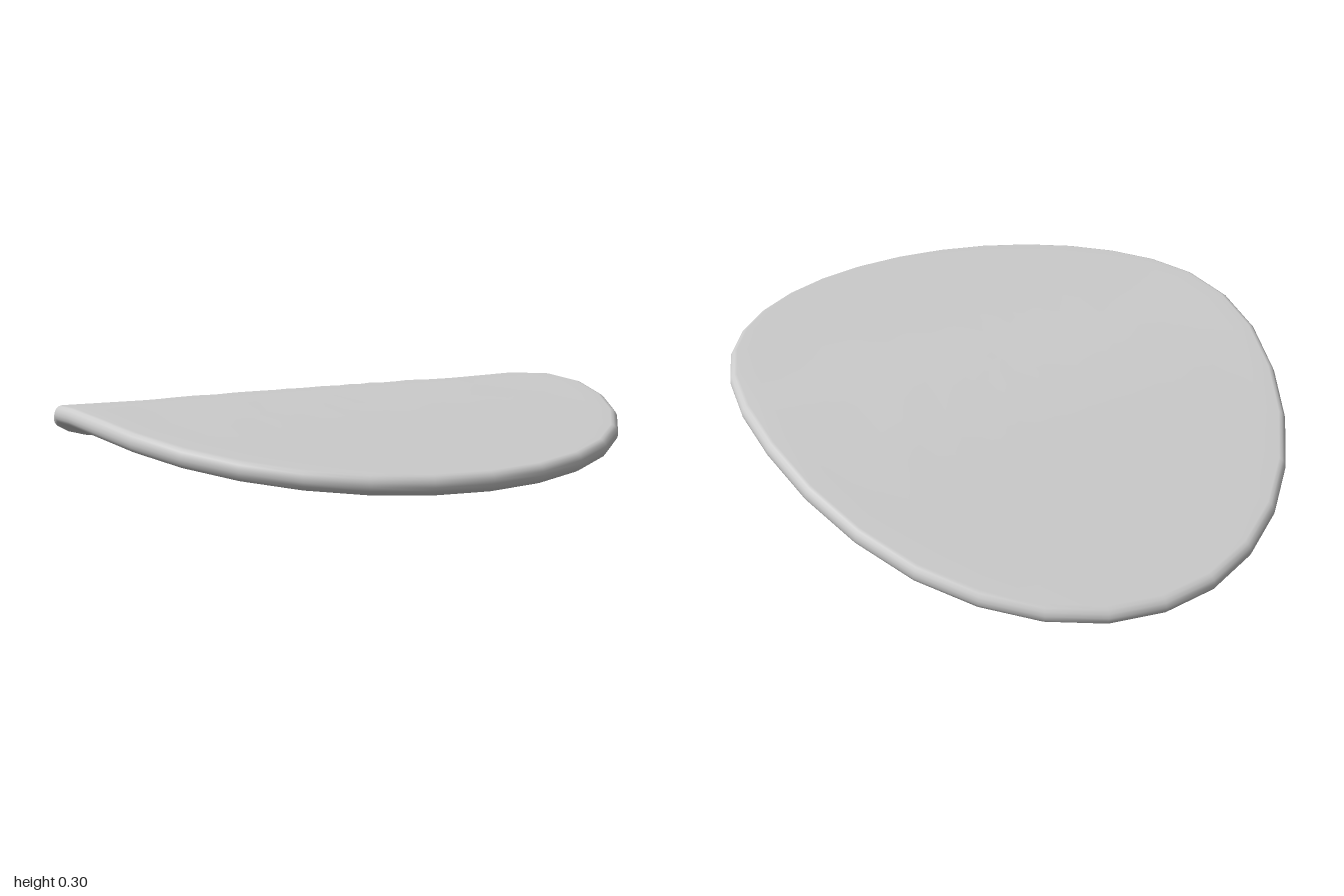
import * as THREE from 'three';
import { mergeVertices } from 'three/addons/utils/BufferGeometryUtils.js';

const HALF_WIDTH = 0.86;
const HALF_THICK = 0.028;

// Height of the bent sheet's middle along z: [z, y]
const BEND = [
  [-1.05, 0.018], [-0.98, 0.034], [-0.67, 0.115], [-0.5, 0.165], [-0.32, 0.215], [-0.13, 0.26],
  [0.06, 0.281], [0.25, 0.281], [0.44, 0.263], [0.61, 0.241], [0.75, 0.222], [1.05, 0.181],
];

function bendHeight(z) {
  let i = 0;
  while (i < BEND.length - 2 && z > BEND[i + 1][0]) i++;
  const [z0, y0] = BEND[i], [z1, y1] = BEND[i + 1];
  return y0 + (y1 - y0) * (z - z0) / (z1 - z0);
}

export function createModel() {
  const group = new THREE.Group();
  group.name = 'curvedOvalSheet';

  // Disc profile: underside, rounded rim, top
  const rings = 14, rimSteps = 8, inner = 1 - HALF_THICK;
  const profile = [];
  for (let i = 0; i < rings; i++) profile.push(new THREE.Vector2(inner * i / rings, -HALF_THICK));
  for (let i = 0; i <= rimSteps; i++) {
    const a = -Math.PI / 2 + Math.PI * i / rimSteps;
    profile.push(new THREE.Vector2(inner + HALF_THICK * Math.cos(a), HALF_THICK * Math.sin(a)));
  }
  for (let i = rings - 1; i >= 0; i--) profile.push(new THREE.Vector2(inner * i / rings, HALF_THICK));

  let geometry = new THREE.LatheGeometry(profile, 32);

  // Stretch the disc to an egg-like oval and bend it along z
  const pos = geometry.attributes.position;
  for (let i = 0; i < pos.count; i++) {
    const x = pos.getX(i), off = pos.getY(i), uz = pos.getZ(i);
    const z = uz + 0.065 * (1 - uz * uz);
    const slope = (bendHeight(z + 0.08) - bendHeight(z - 0.08)) / 0.16;
    pos.setXYZ(i, x * HALF_WIDTH, bendHeight(z) + off, z - off * slope);
  }

  // Weld the seam for smooth shading
  geometry.deleteAttribute('normal');
  geometry.deleteAttribute('uv');
  geometry = mergeVertices(geometry, 1e-5);
  geometry.computeVertexNormals();

  const sheet = new THREE.Mesh(geometry, new THREE.MeshStandardMaterial({ color: 0xcccccc }));
  sheet.name = 'bentOvalSheet';
  group.add(sheet);
  return group;
}
